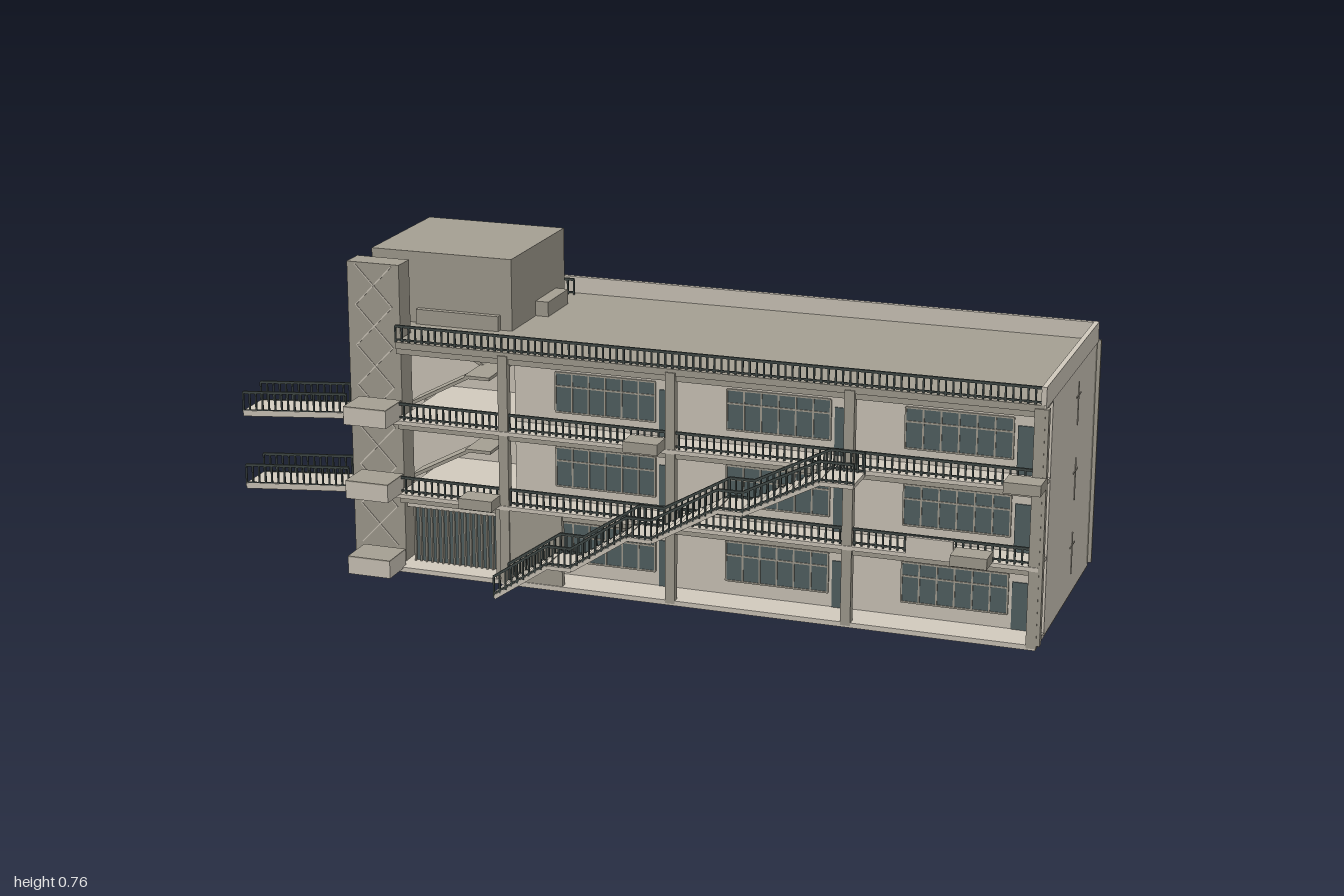
import * as THREE from 'three';
import { mergeGeometries } from 'three/addons/utils/BufferGeometryUtils.js';

const mat = (name, color) => {
  const m = new THREE.MeshStandardMaterial({ color });
  m.name = name;
  return m;
};

export function createModel() {
  const root = new THREE.Group();
  root.name = 'building';
  const light = mat('light concrete', 0xd1cabd);
  const dark = mat('dark concrete', 0xa49f92);
  const iron = mat('railing iron', 0x414a48);
  const glass = mat('window glass', 0x546364);

  // Box between two corners
  const block = (x0, x1, y0, y1, z0, z1) =>
    new THREE.BoxGeometry(x1 - x0, y1 - y0, z1 - z0)
      .translate((x0 + x1) / 2, (y0 + y1) / 2, (z0 + z1) / 2);
  // Bar in the xy plane between two points at depth z
  const bar = (x0, y0, x1, y1, z, t, d) =>
    new THREE.BoxGeometry(Math.hypot(x1 - x0, y1 - y0), t, d)
      .rotateZ(Math.atan2(y1 - y0, x1 - x0))
      .translate((x0 + x1) / 2, (y0 + y1) / 2, z);
  const add = (name, material, ...geos) => {
    const mesh = new THREE.Mesh(geos.length > 1 ? mergeGeometries(geos) : geos[0], material);
    mesh.name = name;
    root.add(mesh);
  };
  // Railing following a polyline of [x, y] points
  const railing = (points, z, h = 0.043, step = 0.017) => {
    const out = [];
    for (let i = 0; i + 1 < points.length; i++) {
      const [ax, ay] = points[i], [bx, by] = points[i + 1];
      out.push(bar(ax, ay + h - 0.003, bx, by + h - 0.003, z, 0.006, 0.006));
      out.push(bar(ax, ay + 0.007, bx, by + 0.007, z, 0.004, 0.004));
      const n = Math.max(1, Math.round(Math.abs(bx - ax) / step));
      for (let k = 0; k <= n; k++) {
        const x = ax + (bx - ax) * k / n, y = ay + (by - ay) * k / n;
        out.push(block(x - 0.002, x + 0.002, y, y + h - 0.003, z - 0.002, z + 0.002));
      }
    }
    return out;
  };
  // Window: glass plate plus a grid of frame bars, facing dir along z
  const win = (name, x0, x1, y0, y1, z, dir, cols, rows) => {
    const za = Math.min(z, z + dir * 0.002), zb = Math.max(z, z + dir * 0.002);
    add(name + ' glass', glass, block(x0, x1, y0, y1, za, zb));
    const frame = [], f = 0.002, zf = z + dir * 0.002;
    for (let i = 0; i <= cols; i++) {
      const x = x0 + (x1 - x0) * i / cols;
      frame.push(block(x - f, x + f, y0, y1, zf - 0.002, zf + 0.002));
    }
    for (let j = 0; j <= rows; j++) {
      const y = y0 + (y1 - y0) * (j === 1 && rows === 2 ? 0.66 : j / rows);
      frame.push(block(x0, x1, y - f, y + f, zf - 0.002, zf + 0.002));
    }
    add(name + ' frame', dark, ...frame);
  };

  const floors = [0.012, 0.2, 0.385];
  const ceilings = [0.19, 0.375, 0.562];
  const columns = [-0.305, 0.112, 0.54, 0.975];

  // Base, floor slabs and main block
  add('base', light, block(-0.72, 0.985, 0, 0.012, -0.33, 0.258));
  add('main block', light, block(-0.31, 0.982, 0.012, 0.575, -0.312, 0.17));
  add('end wall', light, block(0.975, 0.986, 0.004, 0.57, -0.331, 0.171));
  for (const y of [0.19, 0.375])
    add('gallery slab', light, block(-0.58, 0.985, y, y + 0.01, -0.05, 0.262),
      block(-0.72, -0.58, y, y + 0.01, 0.214, 0.262));
  for (const y of ceilings)
    add('gallery beam', dark, block(-0.58, 0.98, y - 0.014, y, 0.24, 0.252));
  add('roof slab', dark, block(-0.58, 0.985, 0.562, 0.578, -0.329, 0.256),
    block(-0.72, -0.58, 0.562, 0.578, -0.329, 0.158));

  // Columns at the front and the back
  for (const x of columns) {
    add('front column', dark, block(x - 0.012, x + 0.012, 0.005, 0.57, 0.24, 0.26));
    add('back column', dark, block(x - 0.011, x + 0.011, 0.012, 0.575, -0.337, -0.31));
  }
  add('corner post', dark, block(0.976, 0.995, 0.012, 0.575, -0.337, -0.329),
    block(0.977, 0.995, 0.012, 0.57, 0.241, 0.259));

  // Parapet round the roof
  add('parapet', light,
    block(-0.72, 0.988, 0.57, 0.62, -0.332, -0.32),
    block(0.976, 0.988, 0.57, 0.62, -0.32, 0.255),
    block(-0.72, -0.708, 0.57, 0.62, -0.32, 0.155));

  // Gallery and roof railings
  for (const y of [0.2, 0.385, 0.577])
    add('gallery railing', iron, ...railing([[-0.58, y], [0.98, y]], 0.252));

  // Front rooms: window and door in each bay
  for (const f of floors) {
    for (let b = 0; b < 3; b++) {
      const x = -0.205 + b * 0.427;
      win('front window', x, x + 0.25, f + 0.035, f + 0.132, 0.17, 1, 6, 2);
      add('front door', glass, block(x + 0.26, x + 0.302, f, f + 0.115, 0.168, 0.173));
    }
  }

  // Back facade: spandrels, recessed windows and sun louvres
  const edges = [0, ...floors.map(f => [f + 0.045, f + 0.162]).flat(), 0.575];
  for (let i = 0; i < edges.length; i += 2)
    add('back spandrel', light, block(-0.305, 0.976, edges[i] + 0.003, edges[i + 1], -0.33, -0.31));
  for (const f of floors) {
    for (let b = 0; b < 3; b++) {
      const x0 = columns[b] + 0.011, x1 = columns[b + 1] - 0.011;
      win('back window', x0, x1, f + 0.045, f + 0.146, -0.314, -1, 14, 2);
      add('window sill', light, block(x0, x1, f + 0.041, f + 0.046, -0.334, -0.314));
      const teeth = [block(x0, x1, f + 0.143, f + 0.147, -0.335, -0.328)];
      for (let x = x0 + 0.005; x < x1 - 0.004; x += 0.013)
        teeth.push(block(x, x + 0.004, f + 0.143, f + 0.166, -0.336, -0.326));
      add('sun louvre', dark, ...teeth);
    }
  }

  // Cross shaped marks on the end wall
  for (const y of [0.055, 0.24, 0.425])
    add('end wall cross', dark, block(0.985, 0.988, y, y + 0.105, -0.12, -0.117),
      block(0.985, 0.988, y + 0.071, y + 0.074, -0.144, -0.094));

  // Service wing beside the open passage
  add('service wing', light, block(-0.72, -0.37, 0.006, 0.575, -0.33, -0.05));
  add('wing side wall', light, block(-0.72, -0.705, 0.006, 0.575, -0.05, 0.158));
  for (const f of floors) {
    win('wing window', -0.64, -0.475, f + 0.085, f + 0.115, -0.33, -1, 8, 1);
    win('wing door', -0.425, -0.378, f, f + 0.125, -0.33, -1, 2, 2);
  }
  for (const y of [0.188, 0.375]) {
    add('back balcony', light, block(-0.49, -0.335, y, y + 0.009, -0.36, -0.32));
    add('back balcony railing', iron,
      ...railing([[-0.488, y + 0.009], [-0.337, y + 0.009]], -0.357, 0.048));
  }

  // Dog-leg stairs inside the wing
  for (const f of floors) {
    add('inner stair', dark,
      bar(-0.6, f + 0.005, -0.44, f + 0.09, 0.11, 0.008, 0.08),
      bar(-0.6, f + 0.175, -0.44, f + 0.09, 0.01, 0.008, 0.08),
      block(-0.45, -0.385, f + 0.086, f + 0.094, -0.05, 0.15));
  }

  // Roof room with a vent window and side cabinet
  add('roof room', dark, block(-0.72, -0.355, 0.575, 0.755, -0.275, 0.073));
  win('roof room window', -0.62, -0.46, 0.685, 0.71, -0.275, -1, 8, 1);
  add('roof cabinet', dark, block(-0.355, -0.322, 0.575, 0.615, -0.215, -0.08));
  add('roof room ledge', dark, block(-0.6, -0.385, 0.578, 0.615, 0.073, 0.088));
  add('roof bars', iron, ...railing([[-0.49, 0.577], [-0.34, 0.577]], -0.302));

  // Front tower with a crossed lattice
  add('tower', dark, block(-0.72, -0.585, 0, 0.755, 0.154, 0.214));
  const lattice = [];
  for (let i = 0; i < 7; i++) {
    const y0 = 0.05 + i * 0.1, y1 = y0 + 0.1;
    lattice.push(bar(-0.7, y0, -0.605, y1, 0.214, 0.003, 0.003),
      bar(-0.7, y1, -0.605, y0, 0.214, 0.003, 0.003));
  }
  add('tower lattice', light, ...lattice);
  for (const y of [0.008, 0.2, 0.385]) {
    add('tower balcony', light, block(-0.685, -0.575, y, y + 0.042, 0.24, 0.332));
    add('tower balcony top', dark, block(-0.685, -0.575, y + 0.042, y + 0.045, 0.24, 0.332));
  }

  // Planter boxes hung on the gallery
  for (const [x, y] of [[-0.4, 0.2], [0.015, 0.385], [0.795, 0.2], [0.91, 0.385]])
    add('planter', dark, block(x, x + 0.085, y, y + 0.026, 0.256, 0.314));
  add('gallery panel', light, block(0.68, 0.79, 0.2, 0.24, 0.256, 0.264));

  // Link bridges, sloping down to the side
  for (const y of [0.192, 0.378]) {
    const a = [-0.997, y - 0.022], b = [-0.72, y];
    add('link bridge', light, bar(...a, ...b, 0.195, 0.014, 0.1));
    for (const z of [0.148, 0.242])
      add('link bridge railing', iron, ...railing([a, b], z, 0.056));
  }

  // Ground floor gate and screen wall
  add('gate back', glass, block(-0.565, -0.33, 0.012, 0.148, 0.19, 0.196));
  const slats = [];
  for (let i = 0; i <= 16; i++) {
    const x = -0.565 + i * 0.0146;
    slats.push(block(x - 0.002, x + 0.002, 0.012, 0.15, 0.194, 0.204));
  }
  add('gate slats', dark, ...slats);
  add('gate lintel', light, block(-0.585, -0.33, 0.148, 0.19, 0.186, 0.2));
  add('screen wall', dark, block(-0.33, -0.16, 0.004, 0.19, 0.24, 0.256));

  // Outside stair climbing along the front
  const path = [[-0.295, 0.006], [-0.16, 0.098], [-0.1, 0.098], [0.04, 0.192], [0.1, 0.192],
    [0.26, 0.284], [0.32, 0.284], [0.5, 0.378], [0.58, 0.378]];
  for (let i = 0; i + 1 < path.length; i++) {
    const [ax, ay] = path[i], [bx, by] = path[i + 1];
    if (i % 2) {
      add('stair landing', light, block(ax, bx, ay - 0.008, ay + 0.002, 0.26, 0.357));
      continue;
    }
    add('stair flight', light, bar(ax, ay - 0.003, bx, by - 0.003, 0.308, 0.01, 0.096));
    const treads = [];
    for (let k = 0; k < 9; k++) {
      const x = ax + (bx - ax) * k / 9, y = ay + (by - ay) * (k + 1) / 9;
      treads.push(block(x, x + (bx - ax) / 9, y - 0.007, y, 0.263, 0.353));
    }
    add('stair treads', light, ...treads);
  }
  for (const z of [0.264, 0.355])
    add('stair railing', iron, ...railing(path, z, 0.053, 0.015));
  return root;
}
